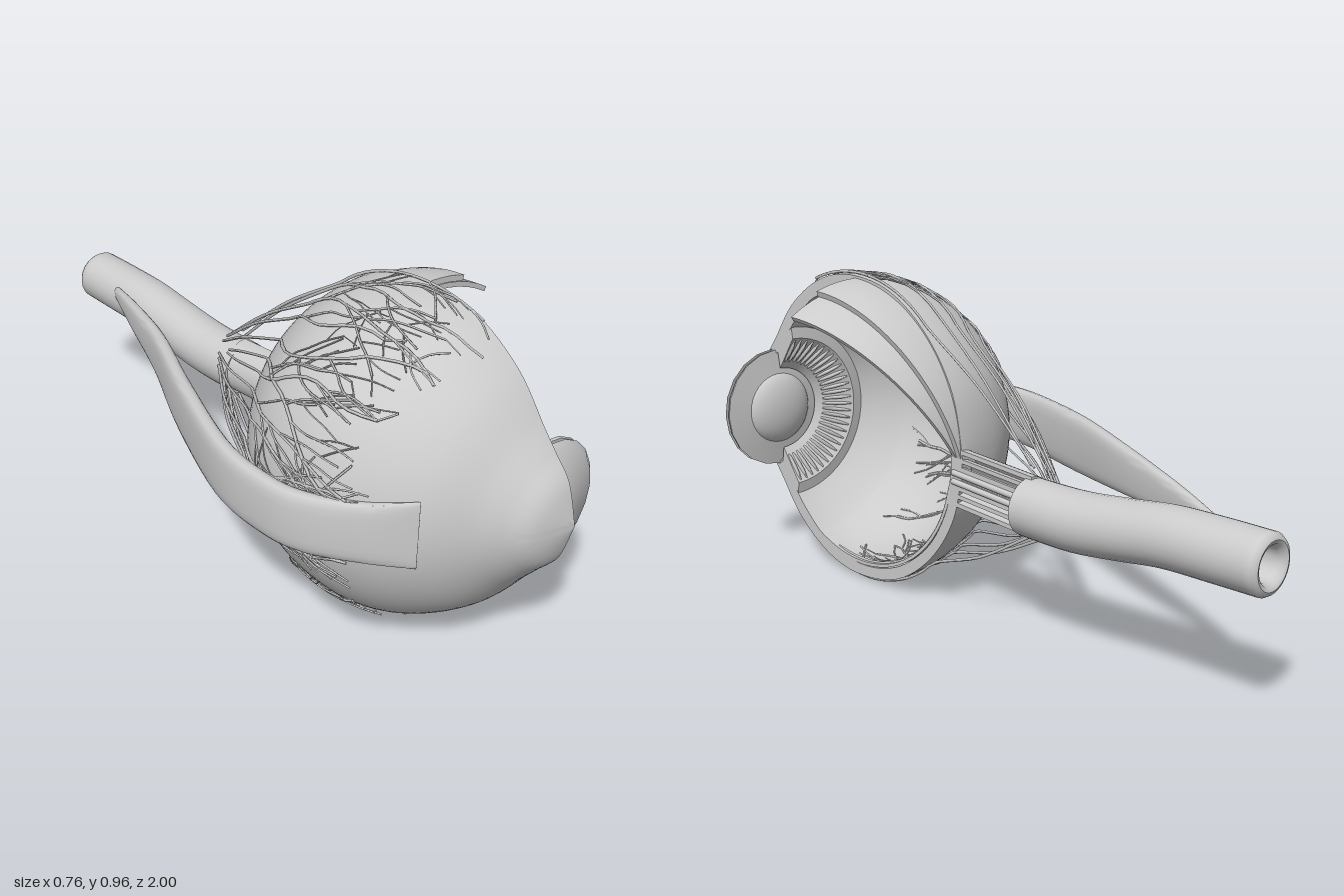
import * as THREE from 'three';
import { mergeGeometries, toCreasedNormals } from 'three/addons/utils/BufferGeometryUtils.js';

const CX = 0.145, CY = 0.487, CZ = 0.487; // centre of the globe
const PI = Math.PI;
const grey = new THREE.MeshStandardMaterial({ color: 0xcccccc, side: THREE.DoubleSide });
const blue = new THREE.MeshStandardMaterial({ color: 0x2f566b, side: THREE.DoubleSide });
const V2 = (p) => new THREE.Vector2(p[0], p[1]);
const V3 = (x, y, z) => new THREE.Vector3(x, y, z);

let seed = 11;
const rand = () => (seed = (seed * 16807) % 2147483647) / 2147483647;

function mesh(parent, name, geo, mat = grey) {
  const m = new THREE.Mesh(geo, mat);
  m.name = name;
  parent.add(m);
  return m;
}

// smooth profile of [radius, z] points
const smooth = (pts, n) => new THREE.SplineCurve(pts.map(V2)).getPoints(n)
  .map((p) => V2([Math.max(p.x, 0), p.y]));

// circular arc of a shell round the globe centre, a in radians from the back pole
const arc = (r, a0, a1, n = 24) => Array.from({ length: n + 1 }, (_, i) => {
  const a = a0 + (a1 - a0) * i / n;
  return V2([Math.max(r * Math.sin(a), 0), CZ - r * Math.cos(a)]);
});

// turn a closed [r, z] profile round the z axis; optional flat caps close a sector
function turned(profile, start = 0, length = 2 * PI, segs = 48, caps = true) {
  const pts = profile.concat([profile[0].clone()]);
  const lathe = new THREE.LatheGeometry(pts, segs, start, length).rotateX(PI / 2);
  const parts = [toCreasedNormals(lathe, 0.6)];
  if (caps && length < 6.2) {
    for (const a of [start, start + length]) {
      const shape = new THREE.Shape(profile.map((p) => V2([-p.y, p.x])));
      parts.push(new THREE.ShapeGeometry(shape).rotateY(PI / 2).rotateZ(a - PI).toNonIndexed());
    }
  }
  return mergeGeometries(parts);
}

// skin a list of closed rings
function loft(rings) {
  const n = rings[0].length, pos = [], idx = [];
  rings.forEach((ring) => ring.forEach((p) => pos.push(p.x, p.y, p.z)));
  for (let i = 0; i < rings.length - 1; i++) {
    for (let j = 0; j < n; j++) {
      const a = i * n + j, b = i * n + (j + 1) % n;
      idx.push(a, b, a + n, b, b + n, a + n);
    }
  }
  const g = new THREE.BufferGeometry();
  g.setAttribute('position', new THREE.Float32BufferAttribute(pos, 3));
  g.setIndex(idx);
  g.computeVertexNormals();
  return toCreasedNormals(g, 0.8);
}

// point on the globe: t from the back pole, az from the top round the -x side
const onGlobe = (t, az, r) => V3(CX - Math.sin(az) * Math.sin(t) * r,
  CY + Math.cos(az) * Math.sin(t) * r, CZ - Math.cos(t) * r);

// wandering vessel that throws off side branches
function grow(out, r, t, az, heading, steps, width, prefix = []) {
  const pts = [...prefix];
  for (let i = 0; i < steps; i++) {
    az = Math.min(PI - 0.03, Math.max(0.03, az));
    pts.push(onGlobe(t, az, r));
    if (i > 0 && steps > 4 && rand() < 0.5) {
      const side = rand() < 0.5 ? -1 : 1;
      grow(out, r, t, az, heading + side * (0.45 + rand() * 0.4),
        Math.floor((steps - i) * 0.5) + 2, width * 0.7);
    }
    heading += (rand() - 0.5) * 0.6 - heading * 0.15;
    t += 0.11 * Math.cos(heading);
    az += 0.11 * Math.sin(heading) / Math.max(0.3, Math.sin(t));
    if (t > 2.15) break;
  }
  if (pts.length < 2) return;
  const curve = new THREE.CatmullRomCurve3(pts);
  out.push(new THREE.TubeGeometry(curve, pts.length * 2, width, 4));
}

export function createModel() {
  const root = new THREE.Group();
  const globe = new THREE.Group();
  globe.name = 'globe';
  globe.position.set(CX, CY, 0);
  root.add(globe);

  // half globe wall running forward into the thin cornea
  const outer = smooth([[0, 0.02], [0.18, 0.058], [0.33, 0.16], [0.435, 0.31], [0.467, 0.487],
    [0.437, 0.64], [0.345, 0.78], [0.225, 0.875], [0.172, 0.918], [0.11, 0.966], [0, 0.998]], 60);
  const inner = smooth([[0, 0.984], [0.1, 0.952], [0.165, 0.9], [0.19, 0.855], [0.3, 0.765],
    [0.39, 0.65], [0.431, 0.487], [0.4, 0.32], [0.3, 0.175], [0.16, 0.087], [0, 0.056]], 60);
  mesh(globe, 'sclera', turned([...outer, ...inner], PI, PI, 48));

  // retina lining
  mesh(globe, 'retina', turned([...arc(0.43, 0, 2.3), ...arc(0.42, 0, 2.3).reverse()], PI, PI, 40));

  // tinted inner face of the cornea
  const tint = smooth([[0.172, 0.893], [0.1, 0.946], [0, 0.979]], 14);
  mesh(globe, 'corneaLining', new THREE.LatheGeometry(tint, 32, PI, PI).rotateX(PI / 2), blue);

  // stepped flaps of the wall left on the cut side
  const flap = (name, r0, r1, deg) => {
    const a = THREE.MathUtils.degToRad(deg);
    mesh(globe, name, turned([...arc(r1, 0, 1.53), ...arc(r0, 0, 1.53).reverse()], PI - a, a, 6));
  };
  flap('outerFlap', 0.443, 0.46, 18);
  flap('innerFlap', 0.428, 0.442, 32);

  // iris: two thin discs round the pupil
  mesh(globe, 'iris', turned([[0.053, 0.923], [0.17, 0.9], [0.187, 0.897], [0.17, 0.912],
    [0.056, 0.932]].map(V2), 0, 2 * PI, 20));
  mesh(globe, 'irisBack', turned([[0.11, 0.868], [0.187, 0.878], [0.185, 0.886],
    [0.11, 0.88]].map(V2), 0, 2 * PI, 20));

  // lens
  const lens = mesh(globe, 'lens', new THREE.SphereGeometry(1, 32, 20).rotateX(PI / 2));
  lens.scale.set(0.115, 0.115, 0.05);
  lens.position.z = 0.88;

  // pleated ciliary ring on the uncut half
  const pleats = [];
  for (let i = 0; i < 30; i++) {
    const g = new THREE.SphereGeometry(1, 6, 6).scale(0.008, 0.058, 0.016);
    g.rotateX(-0.65).translate(0, 0.19, 0.825).rotateZ(PI * (i + 0.5) / 30);
    pleats.push(g);
  }
  mesh(globe, 'ciliaryFolds', mergeGeometries(pleats));
  mesh(globe, 'ciliaryRing', turned([[0.13, 0.858], [0.235, 0.785], [0.27, 0.79],
    [0.19, 0.868]].map(V2), PI, PI, 40));

  // cut-open length of nerve behind the globe
  const stem = new THREE.Group();
  stem.name = 'openNerve';
  stem.position.set(CX, 0.425, 0);
  stem.rotation.x = -0.07;
  root.add(stem);
  const sheath = (name, r0, r1, back, front) => mesh(stem, name,
    turned([[r0, back], [r1, back], [r1, front], [r0, front]].map(V2), PI, PI, 20));
  sheath('outerSheath', 0.073, 0.086, -0.24, 0.05);
  sheath('innerSheath', 0.048, 0.06, -0.24, 0.05);
  sheath('nerveFibres', 0.001, 0.036, -0.24, 0.06);
  for (const y of [-0.013, 0.013]) {
    const v = mesh(stem, 'centralVessel', new THREE.CylinderGeometry(0.009, 0.009, 0.3, 10).rotateX(PI / 2));
    v.position.set(0, y, -0.09);
  }

  // whole nerve with a hollow rear end: [y, z, radius]
  const nerve = smoothSections([[0.405, -0.225, 0.082], [0.404, -0.4, 0.083], [0.42, -0.56, 0.082],
    [0.437, -0.7, 0.081], [0.44, -0.85, 0.081], [0.44, -0.985, 0.08]], 24);
  const nerveRows = [[0.405, -0.225, 0.001], [0.405, -0.225, 0.08], ...nerve,
    [0.44, -0.996, 0.073], [0.44, -1, 0.063], [0.44, -0.995, 0.052], [0.44, -0.98, 0.045],
    [0.44, -0.85, 0.042], [0.44, -0.85, 0.001]];
  mesh(root, 'opticNerve', loft(nerveRows.map(([y, z, r]) => Array.from({ length: 28 }, (_, j) => {
    const a = -2 * PI * j / 28;
    return V3(0.132 + r * Math.cos(a), y + r * Math.sin(a), z);
  }))));

  // side muscle strap: [x, y, z, half height, half thickness]
  const strap = smoothSections([[-0.185, 0.5, 0.79, 0.1, 0.006], [-0.265, 0.492, 0.69, 0.088, 0.018],
    [-0.335, 0.48, 0.55, 0.086, 0.024], [-0.356, 0.478, 0.42, 0.086, 0.025],
    [-0.335, 0.48, 0.23, 0.087, 0.026], [-0.22, 0.485, -0.08, 0.085, 0.025],
    [-0.1, 0.49, -0.35, 0.068, 0.022], [0, 0.48, -0.62, 0.042, 0.017], [0.062, 0.47, -0.79, 0.018, 0.01]], 44);
  const rings = strap.map(([x, y, z, h, t], i) => {
    const a = strap[Math.max(i - 1, 0)], b = strap[Math.min(i + 1, strap.length - 1)];
    const dir = V3(b[0] - a[0], 0, b[2] - a[2]).normalize();
    return Array.from({ length: 20 }, (_, j) => {
      const c = Math.cos(-2 * PI * j / 20), s = Math.sin(-2 * PI * j / 20);
      const u = Math.sign(c) * Math.abs(c) ** 0.6 * t, v = Math.sign(s) * Math.abs(s) ** 0.6 * h;
      return V3(x - dir.z * u, y + v, z + dir.x * u);
    });
  });
  const close = (ring) => {
    const mid = ring.reduce((s, p) => s.add(p), V3(0, 0, 0)).divideScalar(ring.length);
    return ring.map(() => mid.clone());
  };
  mesh(root, 'sideMuscle', loft([close(rings[0]), ...rings, close(rings[rings.length - 1])]));

  // vessels fanning from the nerve over the outside of the globe
  const outside = [], inside = [];
  for (let i = 0; i < 20; i++) {
    const az = PI * (i + 0.5) / 20 + (rand() - 0.5) * 0.1, z0 = -0.28 + rand() * 0.06;
    const t0 = 0.8 + rand() * 0.15;
    const start = V3(CX - Math.sin(az) * 0.085, 0.42 + Math.cos(az) * 0.1, z0);
    const land = onGlobe(t0, az, 0.474);
    const mid = start.clone().lerp(land, 0.5).add(V3(-Math.sin(az) * 0.02, Math.cos(az) * 0.02, 0));
    grow(outside, 0.474, t0 + 0.1, az, (rand() - 0.5) * 0.4, 8 + Math.floor(rand() * 4), 0.0045,
      [start, mid, land]);
  }
  mesh(root, 'outerVessels', mergeGeometries(outside));

  // vessels spreading over the retina
  for (let i = 0; i < 13; i++) {
    const az = PI * (i + 0.5) / 13;
    grow(inside, 0.419, 0.16, az, (rand() - 0.5) * 0.5, 14 + Math.floor(rand() * 4), 0.0045);
  }
  mesh(root, 'retinalVessels', mergeGeometries(inside));
  return root;
}

// resample rows of numbers with a smooth curve through each column
function smoothSections(rows, n) {
  const cols = rows[0].map((_, k) => new THREE.SplineCurve(rows.map((r, i) => V2([i, r[k]]))));
  return Array.from({ length: n + 1 }, (_, i) => cols.map((c) => c.getPoint(i / n).y));
}
